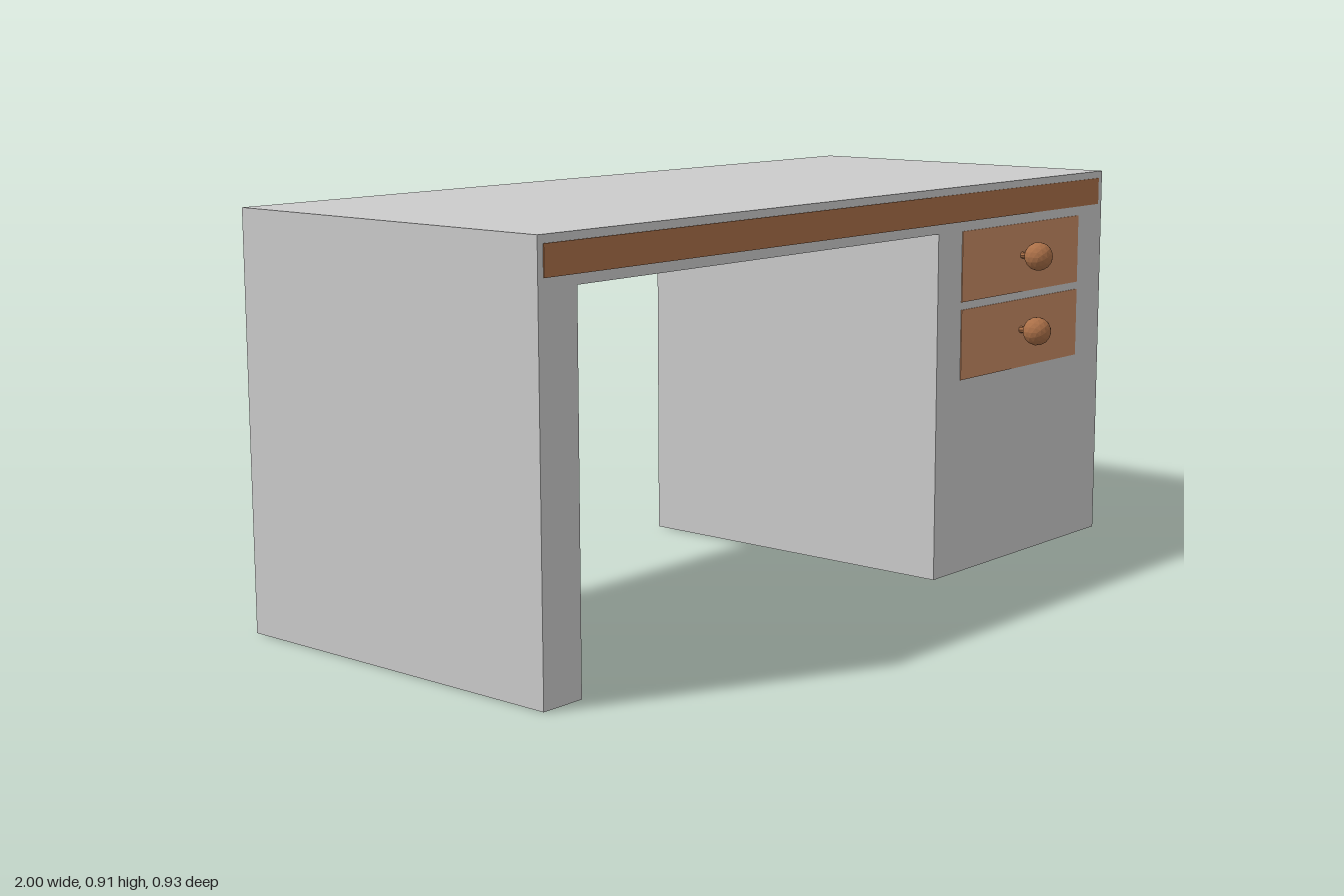
import * as THREE from 'three';

const BACK = -0.465, FRONT = 0.385, LIP = 0.002;

export function createModel() {
  const desk = new THREE.Group();
  desk.name = 'desk';
  const grey = new THREE.MeshStandardMaterial({ color: 0xcccccc, flatShading: true });
  const wood = new THREE.MeshStandardMaterial({ color: 0xc88c65, flatShading: true });
  const darkWood = new THREE.MeshStandardMaterial({ color: 0xab7048, flatShading: true });

  const add = (name, geometry, material, x = 0, y = 0, z = 0) => {
    const mesh = new THREE.Mesh(geometry, material);
    mesh.name = name;
    mesh.position.set(x, y, z);
    desk.add(mesh);
    return mesh;
  };
  // Box given by its extents on each axis
  const box = (name, material, [x0, x1], [y0, y1], [z0, z1]) =>
    add(name, new THREE.BoxGeometry(x1 - x0, y1 - y0, z1 - z0), material,
      (x0 + x1) / 2, (y0 + y1) / 2, (z0 + z1) / 2);

  // Body: slab side, top and pedestal as one front outline
  const outline = new THREE.Shape([
    [-1, 0], [-0.895, 0], [-0.895, 0.805], [0.29, 0.805],
    [0.29, 0], [1, 0], [1, 0.907], [-1, 0.907],
  ].map(([x, y]) => new THREE.Vector2(x, y)));
  add('body', new THREE.ExtrudeGeometry(outline, { depth: FRONT - BACK, bevelEnabled: false }),
    grey, 0, 0, BACK);

  // Wooden panels stand just proud of the front and back faces
  for (const [side, z] of [['front', FRONT], ['back', BACK]]) {
    const depth = [z - LIP, z + LIP];
    box(side + 'Rail', darkWood, [-0.985, 0.982], [0.826, 0.89], depth);
    box(side + 'UpperDrawer', wood, [0.385, 0.89], [0.64, 0.804], depth);
    box(side + 'LowerDrawer', wood, [0.385, 0.89], [0.458, 0.622], depth);
  }

  // Drawer knobs on short stems
  for (const y of [0.728, 0.549]) {
    add('knobStem', new THREE.CylinderGeometry(0.008, 0.008, 0.05, 8), darkWood, 0.637, y, 0.405)
      .rotation.x = Math.PI / 2;
    add('knob', new THREE.IcosahedronGeometry(0.034, 2), darkWood, 0.637, y, 0.433);
  }

  // Strips inside the slab side, and the peg ends under it
  for (const s of [-1, 1]) {
    const mid = (FRONT + BACK) / 2;
    const strip = mid + s * 0.371, peg = mid + s * 0.384;
    box('innerStrip', wood, [-0.9, -0.893], [0.47, 0.805], [strip - 0.034, strip + 0.034]);
    box('footPeg', darkWood, [-0.962, -0.93], [0, 0.03], [peg - 0.016, peg + 0.016])
      .position.y -= 0.001;
  }
  return desk;
}
